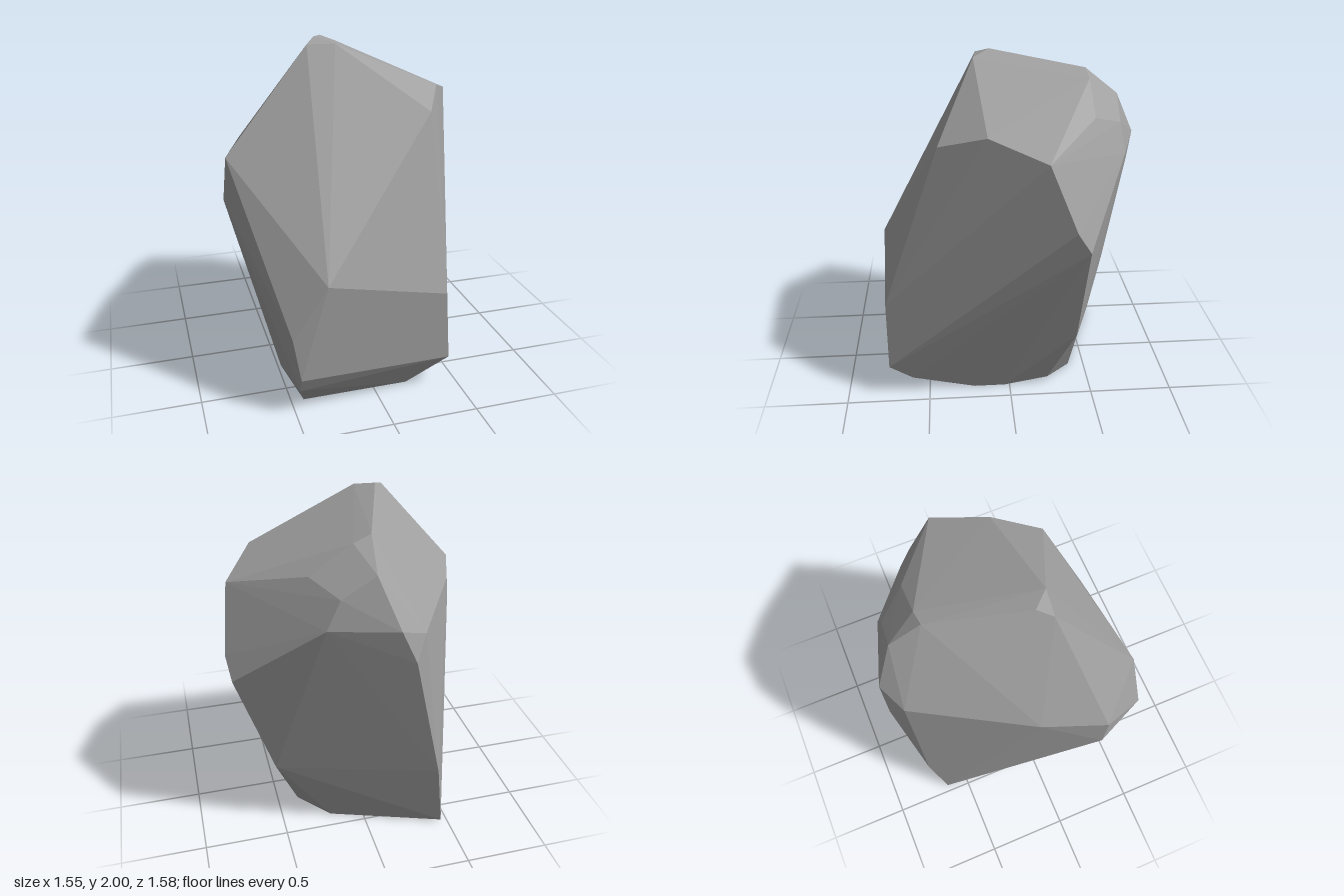
import * as THREE from 'three';
import { ConvexGeometry } from 'three/addons/geometries/ConvexGeometry.js';

export function createModel() {
  const stone = new THREE.MeshStandardMaterial({ color: 0xa0a0a0 });
  stone.name = 'stoneGrey';
  stone.flatShading = true;

  // Corners of the boulder, ring by ring from the ground up
  const rings = [
    // base
    [[-0.46, 0.01, -0.64], [0.2, 0, -0.4], [0.38, 0.04, -0.24], [0.39, 0, 0.03], [0.39, 0, 0.22],
      [0.2, 0.01, 0.65], [-0.43, 0.01, 0.65], [-0.49, 0.03, 0.3]],
    // lower chamfer
    [[0.41, 0.1, 0.6], [0.43, 0.2, 0.74], [-0.47, 0.23, 0.79], [-0.47, 0.14, 0.75]],
    // lower flanks
    [[-0.39, 0.47, -0.71], [0.53, 0.44, -0.39], [0.4, 0.62, 0.74], [-0.31, 0.78, 0.78], [-0.51, 0.48, 0.77]],
    // widest girth
    [[-0.19, 1.3, -0.79], [0.75, 1.1, -0.41], [0.77, 1.23, -0.33], [-0.78, 1.15, 0.28], [-0.76, 1.4, 0.3],
      [-0.63, 1.41, -0.05], [-0.45, 1.45, -0.31], [-0.26, 1.43, -0.71]],
    // shoulder
    [[-0.1, 1.5, -0.79], [0.27, 1.49, -0.67], [0.19, 1.65, -0.65], [0, 1.77, -0.66], [0.32, 1.72, -0.48],
      [0.72, 1.6, -0.18], [0.54, 1.69, 0.13], [0.4, 1.6, 0.4]],
    // crown
    [[-0.02, 1.92, -0.47], [0.08, 1.88, -0.48], [-0.1, 1.97, 0.18], [-0.26, 1.97, 0.16], [-0.2, 2, 0.08]],
  ];
  const corners = rings.flat().map((p) => new THREE.Vector3(...p));

  const boulder = new THREE.Mesh(new ConvexGeometry(corners), stone);
  boulder.name = 'boulder';

  const group = new THREE.Group();
  group.name = 'rock';
  group.add(boulder);
  return group;
}
